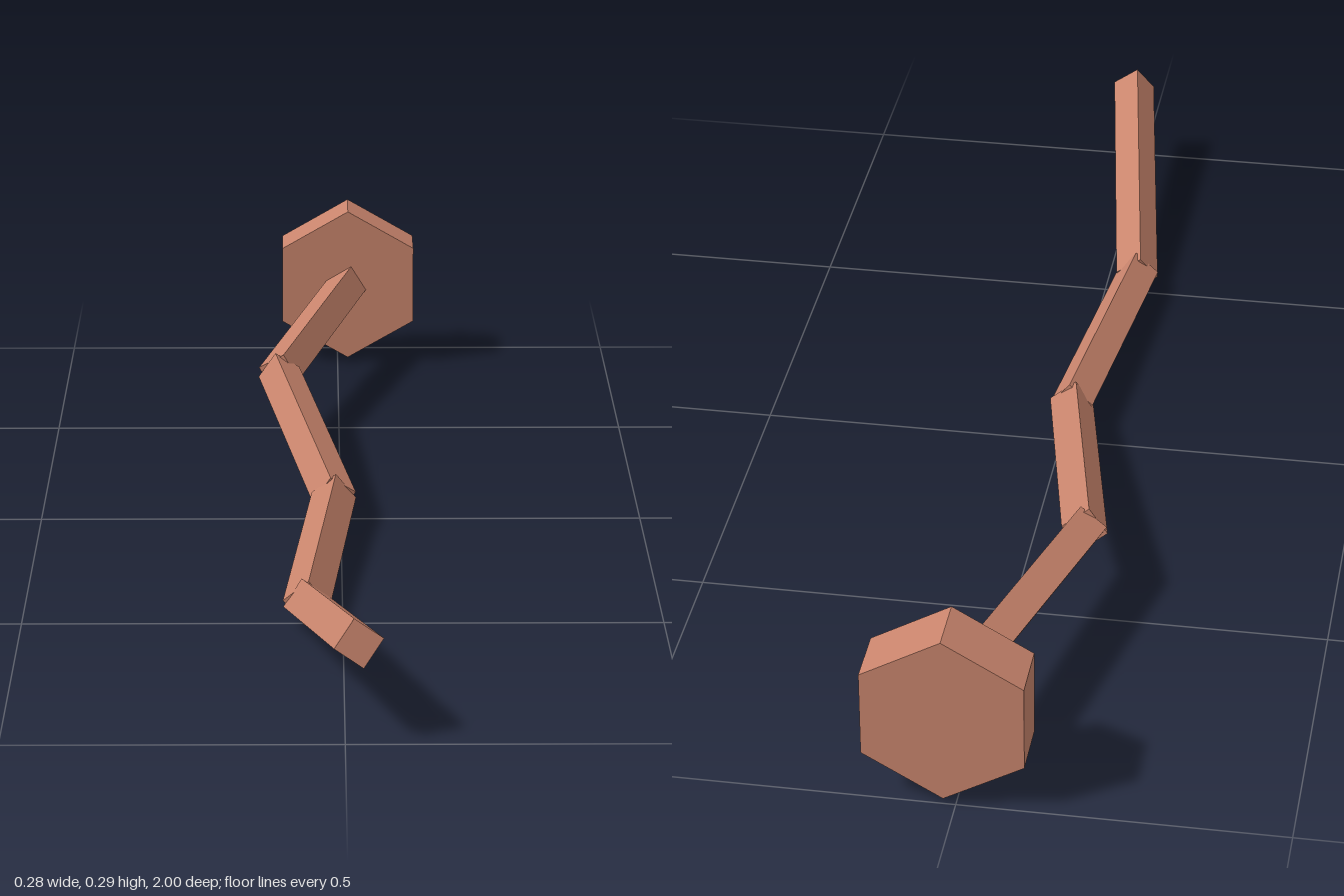
import * as THREE from 'three';

export function createModel() {
  const group = new THREE.Group();
  group.name = 'bentNail';
  const copper = new THREE.MeshStandardMaterial({ color: 0xc8846c, flatShading: true });
  copper.name = 'copper';
  const up = new THREE.Vector3(0, 1, 0);

  // A straight prism running from one point to another
  function addPrism(name, from, to, radius, sides, overlap = 0) {
    const dir = to.clone().sub(from);
    const length = dir.length() + overlap;
    const mesh = new THREE.Mesh(new THREE.CylinderGeometry(radius, radius, length, sides), copper);
    mesh.name = name;
    mesh.position.copy(from).add(to).multiplyScalar(0.5);
    mesh.quaternion.setFromUnitVectors(up, dir.normalize());
    group.add(mesh);
  }

  // Crooked square shank, from the blunt tip back to the head
  const joints = [
    [0.019, 0.153, 0.987],
    [-0.056, 0.039, 0.505],
    [-0.012, 0.055, 0.037],
    [-0.105, 0.125, -0.433],
    [0.019, 0.152, -0.92],
  ].map((p) => new THREE.Vector3(...p));
  for (let i = 0; i < joints.length - 1; i++) {
    addPrism(`shankSegment${i + 1}`, joints[i], joints[i + 1], 0.037, 4, 0.01);
  }

  // Hexagonal head
  addPrism('head', new THREE.Vector3(0.019, 0.152, -0.907), new THREE.Vector3(0.019, 0.152, -1), 0.141, 6);
  return group;
}
